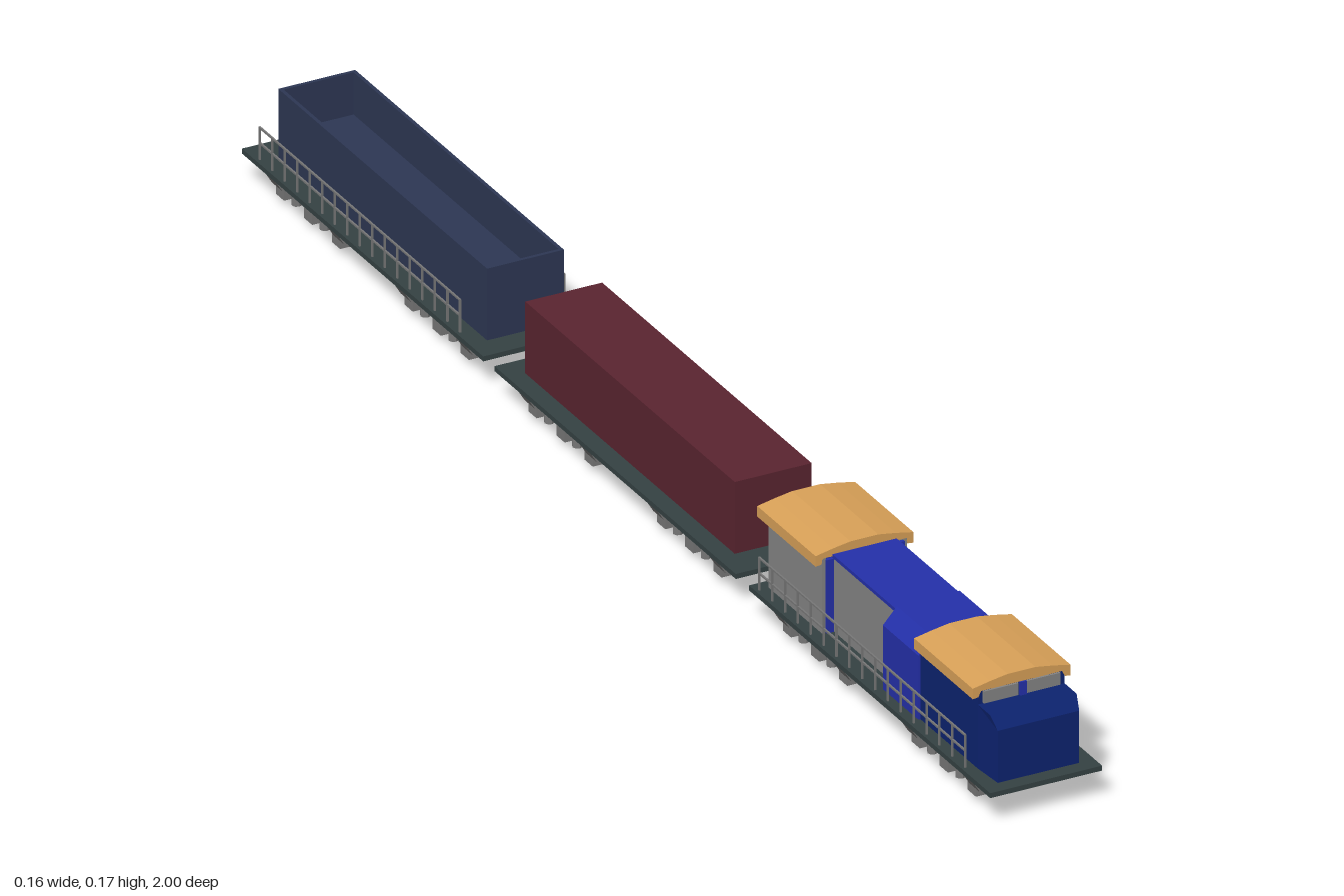
import * as THREE from 'three';

const mat = (name, color) => new THREE.MeshStandardMaterial({ name, color, flatShading: true });

export function createModel() {
  const M = {
    blue: mat('royal blue', 0x2430aa),
    navy: mat('navy blue', 0x0d2370),
    grey: mat('panel grey', 0x858585),
    orange: mat('roof orange', 0xd9a158),
    red: mat('boxcar red', 0x5a2430),
    slate: mat('gondola slate blue', 0x2d3754),
    deck: mat('deck green grey', 0x354243),
    steel: mat('bogie grey', 0x777777),
  };
  const train = new THREE.Group();
  train.name = 'freightTrain';

  const group = (parent, name, z = 0) => {
    const g = new THREE.Group();
    g.name = name;
    g.position.z = z;
    parent.add(g);
    return g;
  };
  const add = (parent, name, geo, m) => {
    const mesh = new THREE.Mesh(geo, m);
    mesh.name = name;
    parent.add(mesh);
    return mesh;
  };
  // Box given by its limits on each axis
  const box = (parent, name, m, x0, x1, y0, y1, z0, z1) => {
    const mesh = add(parent, name, new THREE.BoxGeometry(x1 - x0, y1 - y0, z1 - z0), m);
    mesh.position.set((x0 + x1) / 2, (y0 + y1) / 2, (z0 + z1) / 2);
    return mesh;
  };
  // Cross-section in x, y swept from z0 to z1
  const sweep = (parent, name, m, pts, z0, z1) => {
    const shape = new THREE.Shape(pts.map(p => new THREE.Vector2(...p)));
    const geo = new THREE.ExtrudeGeometry(shape, { depth: z1 - z0, bevelEnabled: false });
    return add(parent, name, geo.translate(0, 0, z0), m);
  };
  const cylX = (parent, name, m, r, len, x, y, z, sides = 16) => {
    const mesh = add(parent, name, new THREE.CylinderGeometry(r, r, len, sides).rotateZ(Math.PI / 2), m);
    mesh.position.set(x, y, z);
    return mesh;
  };

  // Three-axle bogie
  const bogie = (parent, z) => {
    const g = group(parent, 'bogie', z);
    box(g, 'bolster', M.steel, -0.055, 0.055, 0.028, 0.041, -0.02, 0.02);
    for (const e of [-1, 1]) {
      box(g, 'endBeam', M.steel, -0.055, 0.055, 0.026, 0.037, e * 0.107 - 0.006, e * 0.107 + 0.006);
    }
    for (const az of [-0.075, 0, 0.075]) {
      cylX(g, 'axle', M.steel, 0.004, 0.12, 0, 0.018, az, 8);
      box(g, 'tractionMotor', M.steel, -0.03, 0.03, 0.008, 0.026, az - 0.016, az + 0.016);
    }
    for (const s of [-1, 1]) {
      const mid = s * 0.055;
      box(g, 'sideFrame', M.steel, mid - 0.006, mid + 0.006, 0.022, 0.034, -0.113, 0.113);
      for (const az of [-0.075, 0, 0.075]) {
        cylX(g, 'wheel', M.steel, 0.018, 0.006, s * 0.039, 0.018, az);
        box(g, 'axleBox', M.steel, s * 0.059 - 0.007, s * 0.059 + 0.007, 0.01, 0.027, az - 0.011, az + 0.011);
      }
      for (const bz of [-0.0375, 0.0375]) {
        const spring = add(g, 'spring', new THREE.CylinderGeometry(0.007, 0.007, 0.022, 8), M.steel);
        spring.position.set(s * 0.062, 0.027, bz);
        const brace = box(g, 'outerBracket', M.steel, -0.003, 0.003, -0.011, 0.011, -0.014, 0.014);
        brace.position.set(s * 0.069, 0.032, bz * 2.2);
        brace.rotation.z = -s * 0.55;
      }
    }
  };

  // Deck with two bogies, shared by every vehicle
  const vehicle = (name, z) => {
    const g = group(train, name, z);
    box(g, 'deck', M.deck, -0.08, 0.08, 0.041, 0.048, -0.3225, 0.3225);
    for (const s of [-1, 1]) bogie(g, s * 0.172);
    return g;
  };

  // Handrails along both sides of a deck
  const railings = (parent, z0, z1, count) => {
    const g = group(parent, 'railings');
    for (const s of [-1, 1]) {
      const x = s * 0.0745, r = 0.0012;
      for (const y of [0.072, 0.094]) box(g, 'handrail', M.steel, x - r, x + r, y - r, y + r, z0, z1);
      for (let i = 0; i <= count; i++) {
        const z = z0 + (z1 - z0) * i / count;
        box(g, 'railPost', M.steel, x - r, x + r, 0.047, 0.095, z - r, z + r);
      }
    }
  };

  // Arched roof slab
  const arch = (parent, name, drop, z0, z1) => {
    const top = [[0.07, 0.164], [0.045, 0.169], [0.02, 0.173], [-0.02, 0.173], [-0.045, 0.169], [-0.07, 0.164]];
    const under = [[-0.07, 0.149], [-0.062, 0.15], [-0.058, 0.158], [0.058, 0.158], [0.062, 0.15], [0.07, 0.149]];
    sweep(parent, name, M.orange, [...top, ...under], z0, z1).position.y = -drop;
  };

  // Locomotive, in its own frame centred on the deck
  const loco = vehicle('locomotive', 0.6775);
  const noseSide = new THREE.Shape();
  [[0.255, 0.048], [0.302, 0.048], [0.302, 0.122], [0.288, 0.139], [0.255, 0.139]]
    .forEach(([z, y], i) => (i ? noseSide.lineTo(-z, y) : noseSide.moveTo(-z, y)));
  const noseGeo = new THREE.ExtrudeGeometry(noseSide, { depth: 0.124, bevelEnabled: false });
  // narrow the front of the nose
  const np = noseGeo.attributes.position;
  for (let i = 0; i < np.count; i++) {
    const narrow = np.getX(i) < -0.295 ? 0.94 : 1;
    np.setZ(i, (np.getZ(i) - 0.062) * narrow);
  }
  noseGeo.rotateY(Math.PI / 2);
  noseGeo.computeVertexNormals();
  add(loco, 'nose', noseGeo, M.navy);

  box(loco, 'frontCab', M.navy, -0.062, 0.062, 0.048, 0.158, 0.1025, 0.2555);
  for (const s of [-1, 1]) {
    box(loco, 'windshield', M.grey, s * 0.03 - 0.025, s * 0.03 + 0.025, 0.14, 0.157, 0.2555, 0.2585);
  }
  box(loco, 'windshieldPillar', M.blue, -0.003, 0.006, 0.139, 0.158, 0.2555, 0.2595);
  arch(loco, 'frontCabRoof', 0, 0.1, 0.257);

  sweep(loco, 'equipmentCabinet', M.blue, [[-0.065, 0.048], [0.065, 0.048], [0.065, 0.139],
    [0.045, 0.161], [-0.045, 0.161], [-0.065, 0.139]], 0.0075, 0.1025);
  box(loco, 'engineHood', M.grey, -0.045, 0.045, 0.048, 0.152, -0.165, 0.0075);
  box(loco, 'hoodTop', M.blue, -0.046, 0.046, 0.152, 0.157, -0.165, 0.0075);

  box(loco, 'rearCabBulkhead', M.blue, -0.056, 0.056, 0.048, 0.152, -0.165, -0.16);
  box(loco, 'rearCabWall', M.blue, -0.056, 0.056, 0.048, 0.152, -0.295, -0.287);
  for (const s of [-1, 1]) {
    box(loco, 'rearCabSide', M.grey, s * 0.058 - 0.003, s * 0.058 + 0.003, 0.048, 0.154, -0.306, -0.163);
  }
  arch(loco, 'rearCabRoof', 0.004, -0.319, -0.163);
  railings(loco, -0.305, 0.245, 16);

  // Boxcar, open along its left side
  const boxcar = vehicle('boxcar', -0.0025);
  const [bz0, bz1, bt] = [-0.287, 0.273, 0.004];
  box(boxcar, 'roof', M.red, -0.055, 0.055, 0.146, 0.15, bz0, bz1);
  box(boxcar, 'rightWall', M.red, -0.055, -0.055 + bt, 0.048, 0.146, bz0, bz1);
  box(boxcar, 'frontWall', M.red, -0.055 + bt, 0.055, 0.048, 0.146, bz1 - bt, bz1);
  box(boxcar, 'rearWall', M.red, -0.055 + bt, 0.055, 0.048, 0.146, bz0, bz0 + bt);
  // bogie mountings showing through the floor
  for (const s of [-1, 1]) {
    box(boxcar, 'bogieMounting', M.steel, -0.02, 0.03, 0.047, 0.052, s * 0.172 - 0.012, s * 0.172 + 0.012);
    for (const e of [-1, 1]) {
      box(boxcar, 'mountingBolt', M.steel, 0.036, 0.044, 0.047, 0.051, s * 0.172 + e * 0.04 - 0.004, s * 0.172 + e * 0.04 + 0.004);
    }
  }

  // Open-topped gondola
  const gondola = vehicle('gondola', -0.6775);
  const [gz0, gz1, gt] = [-0.272, 0.286, 0.005];
  box(gondola, 'load', M.slate, -0.05, 0.05, 0.048, 0.09, gz0 + gt, gz1 - gt);
  for (const s of [-1, 1]) {
    box(gondola, 'sideWall', M.slate, s * 0.0525 - gt / 2, s * 0.0525 + gt / 2, 0.048, 0.15, gz0, gz1);
  }
  box(gondola, 'frontWall', M.slate, -0.05, 0.05, 0.048, 0.15, gz1 - gt, gz1);
  box(gondola, 'rearWall', M.slate, -0.05, 0.05, 0.048, 0.15, gz0, gz0 + gt);
  railings(gondola, -0.285, 0.25, 16);

  return train;
}
